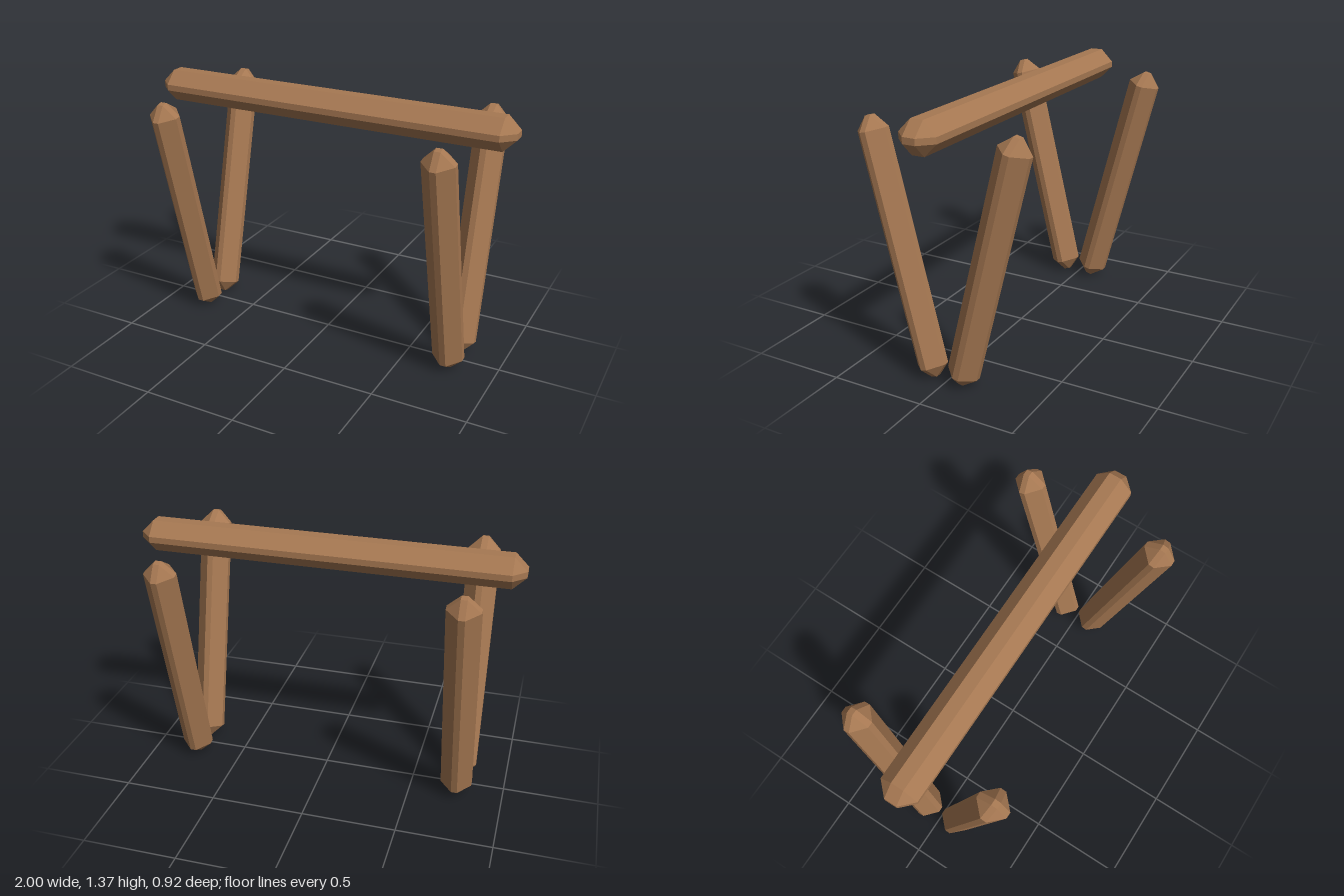
import * as THREE from 'three';
import { ConvexGeometry } from 'three/addons/geometries/ConvexGeometry.js';

const BEVEL = 0.067;

// Box with every edge and corner cut off flat; arguments are half sizes.
function chamferedBeam(hx, hy, hz) {
  const half = [hx, hy, hz];
  const points = [];
  for (const sx of [-1, 1]) for (const sy of [-1, 1]) for (const sz of [-1, 1]) {
    const signs = [sx, sy, sz];
    for (let axis = 0; axis < 3; axis++) {
      const p = half.map((h, i) => signs[i] * (i === axis ? h : h - BEVEL));
      points.push(new THREE.Vector3(...p));
    }
  }
  return new ConvexGeometry(points);
}

export function createModel() {
  const group = new THREE.Group();
  group.name = 'woodenRack';
  const wood = new THREE.MeshStandardMaterial({ color: 0xa67852, flatShading: true });
  wood.name = 'brown wood';

  // Horizontal top bar
  const bar = new THREE.Mesh(chamferedBeam(1, 0.083, 0.1), wood);
  bar.name = 'topBar';
  bar.position.y = 1.287;
  group.add(bar);

  // Two pairs of legs, each pair opening upward in a V
  const legGeometry = chamferedBeam(0.083, 0.667, 0.083);
  for (const side of [1, -1]) {
    for (const end of [1, -1]) {
      const leg = new THREE.Mesh(legGeometry, wood);
      leg.name = (side > 0 ? 'left' : 'right') + (end > 0 ? 'Front' : 'Back') + 'Leg';
      leg.position.set(side * 0.75, 0.652, end * 0.235);
      leg.rotation.x = end * 0.243;
      group.add(leg);
    }
  }
  return group;
}
